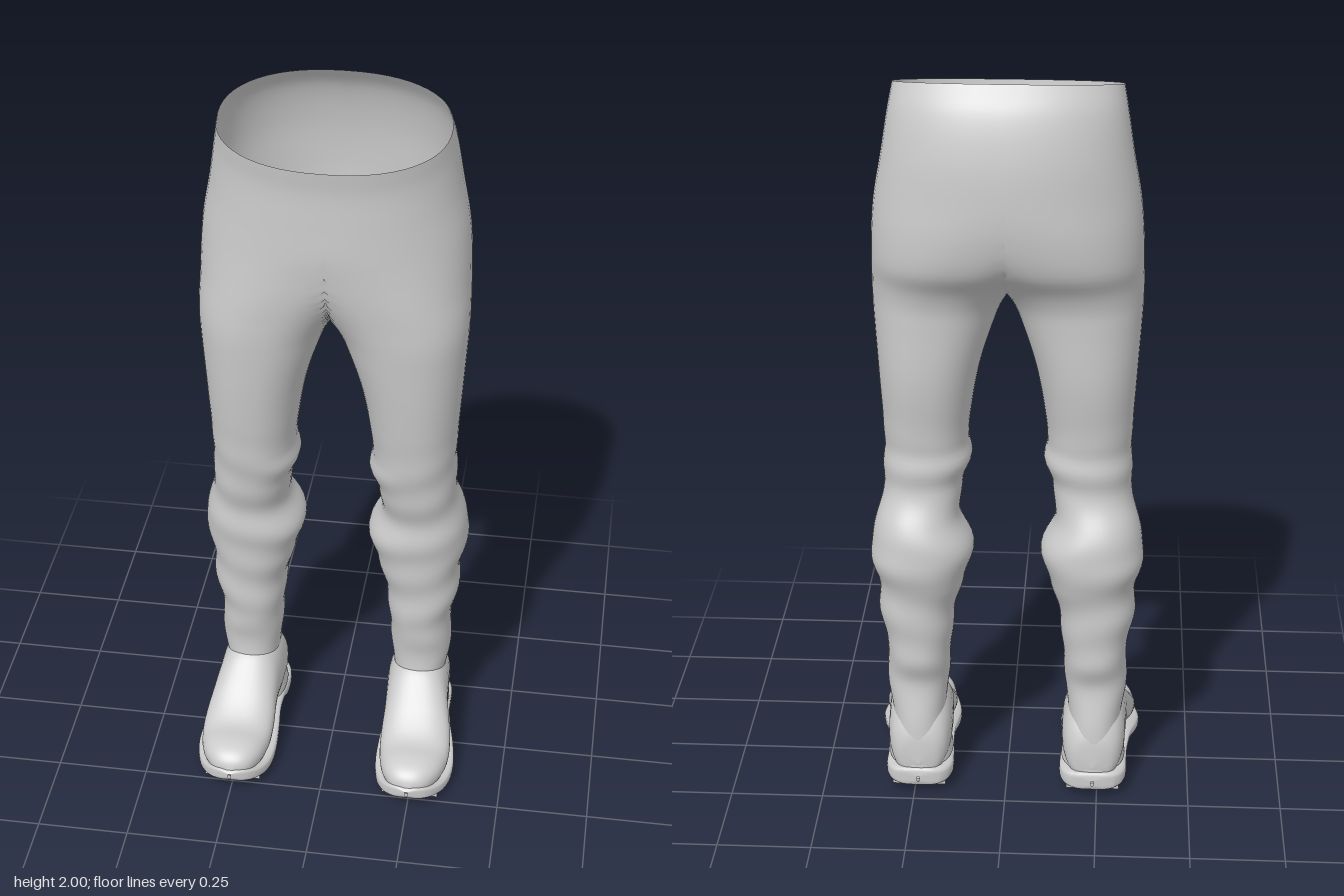
import * as THREE from 'three';
import { mergeVertices } from 'three/addons/utils/BufferGeometryUtils.js';

const material = new THREE.MeshStandardMaterial({ color: 0xcccccc, side: THREE.DoubleSide });

// Smooth interpolation of table rows by their first column
function sample(table, t) {
  let i = 0;
  while (i < table.length - 2 && t > table[i + 1][0]) i++;
  const a = table[i], b = table[i + 1];
  const p = table[Math.max(i - 1, 0)], q = table[Math.min(i + 2, table.length - 1)];
  const h = b[0] - a[0], u = THREE.MathUtils.clamp((t - a[0]) / h, 0, 1);
  return a.map((v, k) => {
    const m0 = (b[k] - p[k]) / (b[0] - p[0]) * h, m1 = (q[k] - a[k]) / (q[0] - a[0]) * h;
    const u2 = u * u, u3 = u2 * u;
    return (2 * u3 - 3 * u2 + 1) * v + (u3 - 2 * u2 + u) * m0 + (3 * u2 - 2 * u3) * b[k] + (u3 - u2) * m1;
  });
}

// Point on a unit superellipse
function oval(a, n) {
  const f = (v) => (Math.abs(v) < 1e-9 ? 0 : Math.sign(v) * Math.abs(v) ** (2 / n));
  return [f(Math.cos(a)), f(Math.sin(a))];
}

// Skin closed rings given by point(row 0..1, angle); sides lists 1 and/or -1 for mirroring in x.
// Triangles lying in the plane x = 0 are left out, so mirrored halves join there.
function loft(point, rows, cols, sides) {
  const pos = [], index = [];
  for (const s of sides) {
    const base = pos.length / 3;
    for (let i = 0; i <= rows; i++) {
      for (let j = 0; j < cols; j++) {
        const [x, y, z] = point(i / rows, (j / cols) * Math.PI * 2);
        pos.push(s * x, y, z);
      }
    }
    const tri = (a, b, c) => {
      if ([a, b, c].every((k) => Math.abs(pos[k * 3]) < 1e-6)) return;
      index.push(...(s > 0 ? [a, b, c] : [a, c, b]));
    };
    for (let i = 0; i < rows; i++) {
      for (let j = 0; j < cols; j++) {
        const a = base + i * cols + j, b = base + i * cols + ((j + 1) % cols);
        tri(a, b, a + cols);
        tri(b, b + cols, a + cols);
      }
    }
  }
  let g = new THREE.BufferGeometry();
  g.setAttribute('position', new THREE.Float32BufferAttribute(pos, 3));
  g.setIndex(index);
  g = mergeVertices(g, 1e-5);
  g.computeVertexNormals();
  return g;
}

// Leg sections: depth below top, inner x, outer x, front z, back z
const hips = [
  [-1.949, -0.29, 0.29, 0.165, -0.215], [-1.88, -0.302, 0.302, 0.157, -0.258],
  [-1.78, -0.318, 0.318, 0.157, -0.287], [-1.68, -0.337, 0.337, 0.158, -0.296],
  [-1.6, -0.24, 0.345, 0.152, -0.29], [-1.52, -0.12, 0.348, 0.146, -0.268],
  [-1.46, -0.045, 0.35, 0.141, -0.228], [-1.41, 0, 0.35, 0.138, -0.21],
  [-1.36, 0.026, 0.348, 0.134, -0.206], [-1.2, 0.076, 0.338, 0.118, -0.2],
];
const shins = [
  [-1.0, 0.105, 0.327, 0.092, -0.175], [-0.95, 0.095, 0.33, 0.085, -0.183],
  [-0.89, 0.118, 0.328, 0.072, -0.173], [-0.8, 0.125, 0.345, 0.052, -0.213],
  [-0.7, 0.09, 0.366, 0.05, -0.24], [-0.62, 0.115, 0.346, 0.038, -0.222],
  [-0.52, 0.14, 0.343, 0.028, -0.21], [-0.4, 0.152, 0.322, 0.02, -0.206],
  [-0.32, 0.158, 0.328, 0.004, -0.187], [-0.2, 0.168, 0.312, 0.01, -0.207],
  [-0.08, 0.15, 0.325, 0.01, -0.217],
];
const legTable = [...hips, ...shins];

function trouserPoint(t, a) {
  const h = THREE.MathUtils.lerp(-1.949, -0.08, t);
  const [, xi, xo, zf, zb] = sample(legTable, h);
  const [c, s] = oval(a, 2.25);
  // Soft cloth folds around knee and shin
  const amount = THREE.MathUtils.smoothstep(-h, 0.22, 0.4) * (1 - THREE.MathUtils.smoothstep(-h, 0.85, 1.15));
  const k = 1 + 0.022 * amount * Math.sin(h * 48 + 1.6 * Math.cos(a + 0.6));
  const x = (xi + xo) / 2 + ((xo - xi) / 2) * c * k;
  const z = (zf + zb) / 2 + ((zf - zb) / 2) * s * k;
  // The waist is lower in front
  const tilt = 0.237 * THREE.MathUtils.smoothstep(-h, 1.5, 1.949);
  return [x < 1e-4 ? 0 : x, -h - tilt * z, z];
}

// Boot sections: z, centre x, half width, bottom y, top y
const upper = [
  [-0.217, 0.238, 0.005, 0.09, 0.1], [-0.21, 0.238, 0.05, 0.05, 0.17],
  [-0.17, 0.238, 0.08, 0.04, 0.24], [-0.08, 0.239, 0.088, 0.04, 0.28],
  [0, 0.243, 0.088, 0.05, 0.265], [0.05, 0.248, 0.092, 0.05, 0.22],
  [0.1, 0.252, 0.098, 0.04, 0.172], [0.16, 0.254, 0.097, 0.03, 0.135],
  [0.22, 0.253, 0.084, 0.03, 0.13], [0.26, 0.251, 0.062, 0.04, 0.118],
  [0.283, 0.25, 0.035, 0.05, 0.098], [0.291, 0.25, 0.004, 0.07, 0.078],
];
const sole = [
  [-0.225, 0.238, 0.004, 0.04, 0.055], [-0.221, 0.238, 0.055, 0.027, 0.075],
  [-0.18, 0.238, 0.088, 0.024, 0.078], [-0.1, 0.239, 0.092, 0.026, 0.078],
  [-0.07, 0.241, 0.091, 0.046, 0.08], [0, 0.246, 0.095, 0.052, 0.085],
  [0.07, 0.251, 0.106, 0.032, 0.075], [0.14, 0.254, 0.111, 0.014, 0.06],
  [0.2, 0.253, 0.102, 0.008, 0.056], [0.25, 0.251, 0.081, 0.02, 0.066],
  [0.285, 0.25, 0.048, 0.036, 0.078], [0.3, 0.249, 0.004, 0.055, 0.07],
];

// Boot part skinned front to back
function bootPart(table, roundness, name, side) {
  const z0 = table[0][0], z1 = table[table.length - 1][0];
  const g = loft((t, a) => {
    // Rows gather towards heel and toe
    const z = THREE.MathUtils.lerp(z0, z1, (1 - Math.cos(Math.PI * t)) / 2);
    const [, cx, hw, y0, y1] = sample(table, z);
    const [c, s] = oval(a, roundness);
    return [cx + hw * c, (y0 + y1) / 2 + ((y1 - y0) / 2) * s, z];
  }, 48, 36, [side]);
  const mesh = new THREE.Mesh(g, material);
  mesh.name = name;
  return mesh;
}

export function createModel() {
  const model = new THREE.Group();
  model.name = 'trousersAndBoots';

  const trousers = new THREE.Mesh(loft(trouserPoint, 130, 56, [1, -1]), material);
  trousers.name = 'trousers';
  model.add(trousers);

  for (const side of [1, -1]) {
    const boot = new THREE.Group();
    boot.name = side > 0 ? 'leftBoot' : 'rightBoot';
    boot.add(bootPart(upper, 2.3, 'bootUpper', side), bootPart(sole, 4, 'bootSole', side));
    // Tread bars across heel and ball
    for (const z of [-0.19, -0.155, -0.12, 0.09, 0.125, 0.16, 0.195, 0.23]) {
      const [, cx, hw, y0] = sample(sole, z);
      const bar = new THREE.Mesh(new THREE.BoxGeometry(hw * 1.7, 0.016, 0.018), material);
      bar.position.set(side * cx, y0 + 0.001, z);
      bar.name = 'treadBar';
      boot.add(bar);
    }
    model.add(boot);
  }
  return model;
}
